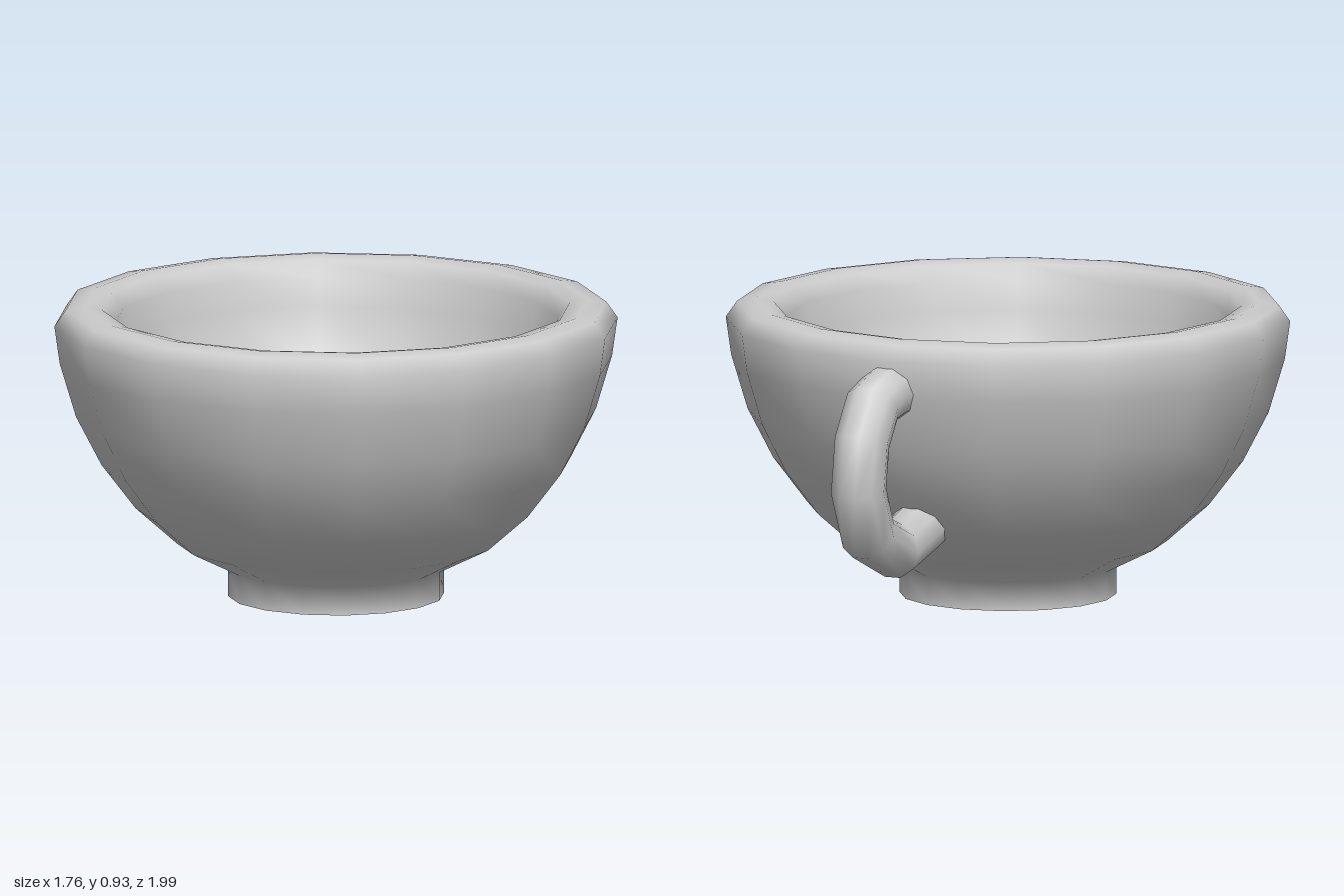
import * as THREE from 'three';

const SIDES = 16;
const TWIST = -0.1; // turn of the 16-sided cup about its axis

const material = new THREE.MeshStandardMaterial({ color: 0xcccccc });

// Polyline whose tube rings sit exactly on the given points
class PathCurve extends THREE.Curve {
  constructor(points) {
    super();
    this.points = points;
  }
  getPoint(t, target = new THREE.Vector3()) {
    const n = this.points.length - 1;
    const i = Math.min(Math.floor(t * n), n - 1);
    return target.lerpVectors(this.points[i], this.points[i + 1], t * n - i);
  }
  getPointAt(t, target) {
    return this.getPoint(t, target);
  }
  getTangentAt(t, target) {
    return this.getTangent(t, target);
  }
}

function lathe(name, profile) {
  const points = profile.map(([r, y]) => new THREE.Vector2(r, y));
  const mesh = new THREE.Mesh(new THREE.LatheGeometry(points, SIDES, TWIST), material);
  mesh.name = name;
  return mesh;
}

export function createModel() {
  const cup = new THREE.Group();
  cup.name = 'cup';

  // Foot, outer wall, rounded rim and inner wall in one smooth shell
  cup.add(lathe('bowl', [
    [0.34, 0], [0.34, 0.09], [0.5, 0.17], [0.63, 0.285], [0.737, 0.425],
    [0.817, 0.58], [0.868, 0.75], [0.885, 0.87], [0.85, 0.92], [0.79, 0.93],
    [0.735, 0.92], [0.7, 0.87], [0.69, 0.78], [0.64, 0.61], [0.55, 0.44],
    [0.42, 0.3], [0.25, 0.2], [0, 0.17],
  ]));

  // Shallow hollow under the foot
  cup.add(lathe('footUnderside', [[0, 0.083], [0.34, 0]]));

  // Flat surface of the drink
  cup.add(lathe('liquid', [[0.64, 0.61], [0, 0.61]]));

  // Handle: radius from the cup axis and height of each ring
  const path = [
    [0.8, 0.77], [0.89, 0.765], [0.965, 0.745], [1.04, 0.64], [1.065, 0.49],
    [0.995, 0.335], [0.815, 0.26], [0.64, 0.305], [0.57, 0.325],
  ].map(([r, y]) => new THREE.Vector3(0, y, -r));
  const handle = new THREE.Mesh(
    new THREE.TubeGeometry(new PathCurve(path), path.length - 1, 0.088, 10),
    material
  );
  handle.name = 'handle';
  handle.rotation.y = 0.28;
  cup.add(handle);

  // The cup sits forward so that cup and handle together are centred
  cup.position.z = 0.115;

  const model = new THREE.Group();
  model.name = 'teacup';
  model.add(cup);
  return model;
}
